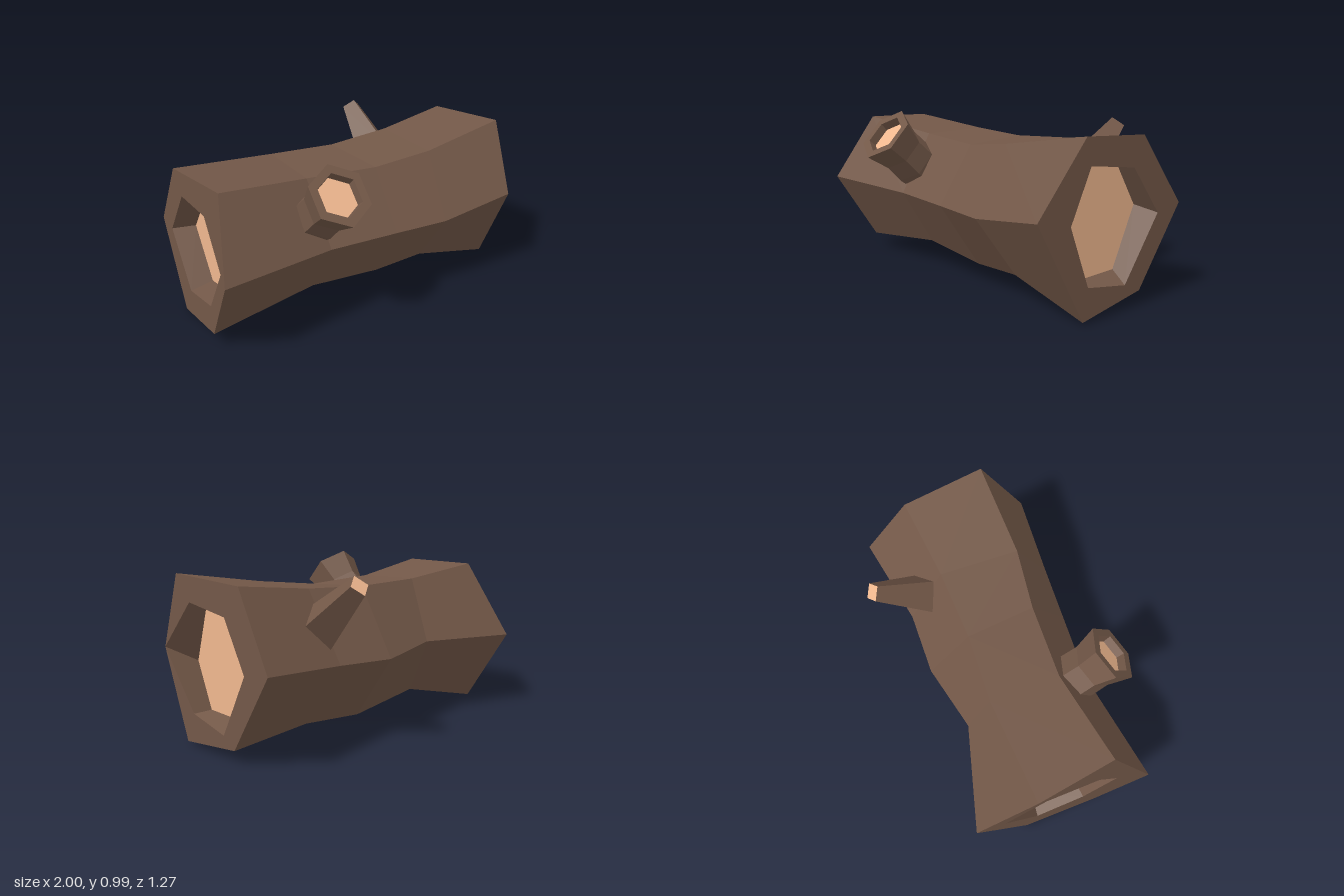
import * as THREE from 'three';

const bark = new THREE.MeshStandardMaterial({ color: 0x735848 });
const wood = new THREE.MeshStandardMaterial({ color: 0xf0b88f });

function mesh(name, geometry, material) {
  const m = new THREE.Mesh(geometry, material);
  m.name = name;
  return m;
}

// One facet per [corners, normal]; each facet is shaded evenly
function fromFacets(facets) {
  const pos = [], nor = [];
  for (const [corners, normal] of facets) {
    for (let i = 1; i < corners.length - 1; i++) {
      pos.push(...corners[0], ...corners[i], ...corners[i + 1]);
      for (let k = 0; k < 3; k++) nor.push(...normal);
    }
  }
  const g = new THREE.BufferGeometry();
  g.setAttribute('position', new THREE.Float32BufferAttribute(pos, 3));
  g.setAttribute('normal', new THREE.Float32BufferAttribute(nor, 3));
  return g;
}

// Four-cornered facet with its mean normal, split along the diagonal that bulges outward
function quadFacet(a, b, c, d, normal) {
  const [va, vb, vc, vd] = [a, b, c, d].map((p) => new THREE.Vector3(...p));
  const mean = vc.clone().sub(va).cross(vd.clone().sub(vb)).normalize();
  const bulge = va.add(vc).sub(vb).sub(vd).dot(mean);
  return [bulge >= 0 ? [a, b, c, d] : [b, c, d, a], normal ?? mean.toArray()];
}

// Facets between two rings, with their own normals or one shared normal
function band(p, q, normal) {
  return p.map((corner, i) => {
    const j = (i + 1) % p.length;
    return quadFacet(corner, q[i], q[j], p[j], normal);
  });
}

// Shrink a ring about the log's axis and move it to depth x
const inset = (ring, s, x) => ring.map(([, y, z]) => [x, 0.47 + (y - 0.47) * s, z * s]);

// Faceted branch along its own y axis, tip at y = 0, leaning by angle about x
function branch(name, sides, profile, capRadius, capY, position, angle) {
  const g = new THREE.Group();
  g.name = name;
  const turn = (pts) => {
    const points = pts.map(([r, y]) => new THREE.Vector2(r, y));
    const faceted = new THREE.LatheGeometry(points, sides).toNonIndexed();
    faceted.computeVertexNormals();
    return faceted;
  };
  g.add(mesh(name + 'Bark', turn(profile), bark));
  g.add(mesh(name + 'CutFace', turn([[capRadius, capY], [0, capY]]), wood));
  g.position.set(...position);
  g.rotation.x = angle;
  return g;
}

export function createModel() {
  const model = new THREE.Group();
  model.name = 'log';

  // Rings run: top front, top back, back, bottom back, bottom front, front
  const outer = [
    [[-0.9, 0.915, 0.27], [-0.96, 0.905, -0.18], [-0.94, 0.47, -0.52],
      [-0.965, 0, -0.21], [-0.975, 0.09, 0.23], [-1, 0.52, 0.5]],
    [[-0.36, 0.84, 0.195], [-0.36, 0.85, -0.21], [-0.35, 0.48, -0.35],
      [-0.35, 0.155, -0.22], [-0.34, 0.16, 0.2], [-0.34, 0.495, 0.41]],
    [[0.08, 0.815, 0.22], [0.04, 0.835, -0.185], [0.06, 0.45, -0.44],
      [0.08, 0.075, -0.19], [0.12, 0.115, 0.2], [0.08, 0.488, 0.44]],
    [[0.43, 0.855, 0.265], [0.45, 0.855, -0.2], [0.43, 0.47, -0.43],
      [0.48, 0.11, -0.2], [0.45, 0.13, 0.21], [0.42, 0.48, 0.465]],
    [[0.98, 0.94, 0.25], [0.93, 0.91, -0.25], [0.97, 0.52, -0.53],
      [0.96, 0.08, -0.22], [0.965, 0.015, 0.23], [0.9, 0.545, 0.49]],
  ];

  // Hollowed ends: rim, then sunken cut face
  const rightRim = inset(outer[0], 0.67, -0.95);
  const rightCut = inset(outer[0], 0.6, -0.82);
  const leftRim = [[0.95, 0.79, 0.18], [0.95, 0.75, -0.15], [0.97, 0.49, -0.34],
    [0.95, 0.13, -0.11], [0.95, 0.18, 0.18], [1, 0.53, 0.37]];
  const leftCut = [[0.79, 0.18], [0.75, -0.15], [0.52, -0.3],
    [0.185, -0.14], [0.18, 0.18], [0.44, 0.3]].map(([y, z]) => [0.84, y, z]);

  const sides = outer.slice(1).flatMap((ring, k) => band(outer[k], ring));
  model.add(mesh('trunkBark', fromFacets(sides), bark));
  model.add(mesh('rightRim', fromFacets([
    ...band(rightRim, outer[0], [-1, 0, 0]), ...band(rightCut, rightRim)]), bark));
  model.add(mesh('leftRim', fromFacets([
    ...band(outer[4], leftRim, [1, 0, 0]), ...band(leftRim, leftCut)]), bark));
  model.add(mesh('rightCutFace', fromFacets([[rightCut, [-1, 0, 0]]]), wood));
  model.add(mesh('leftCutFace', fromFacets([[[...leftCut].reverse(), [1, 0, 0]]]), wood));

  // Stubby hollow branch on the front
  model.add(branch('frontBranch', 6,
    [[0.12, -0.42], [0.145, -0.27], [0.14, -0.15], [0.176, 0], [0.125, 0], [0.12, -0.05]],
    0.12, -0.05, [-0.352, 0.86, 0.516], 0.82));

  // Thin tapering twig on the back
  model.add(branch('backTwig', 4, [[0.15, -0.47], [0.06, 0]], 0.06, 0,
    [0.46, 0.905, -0.6], -0.877));

  return model;
}
